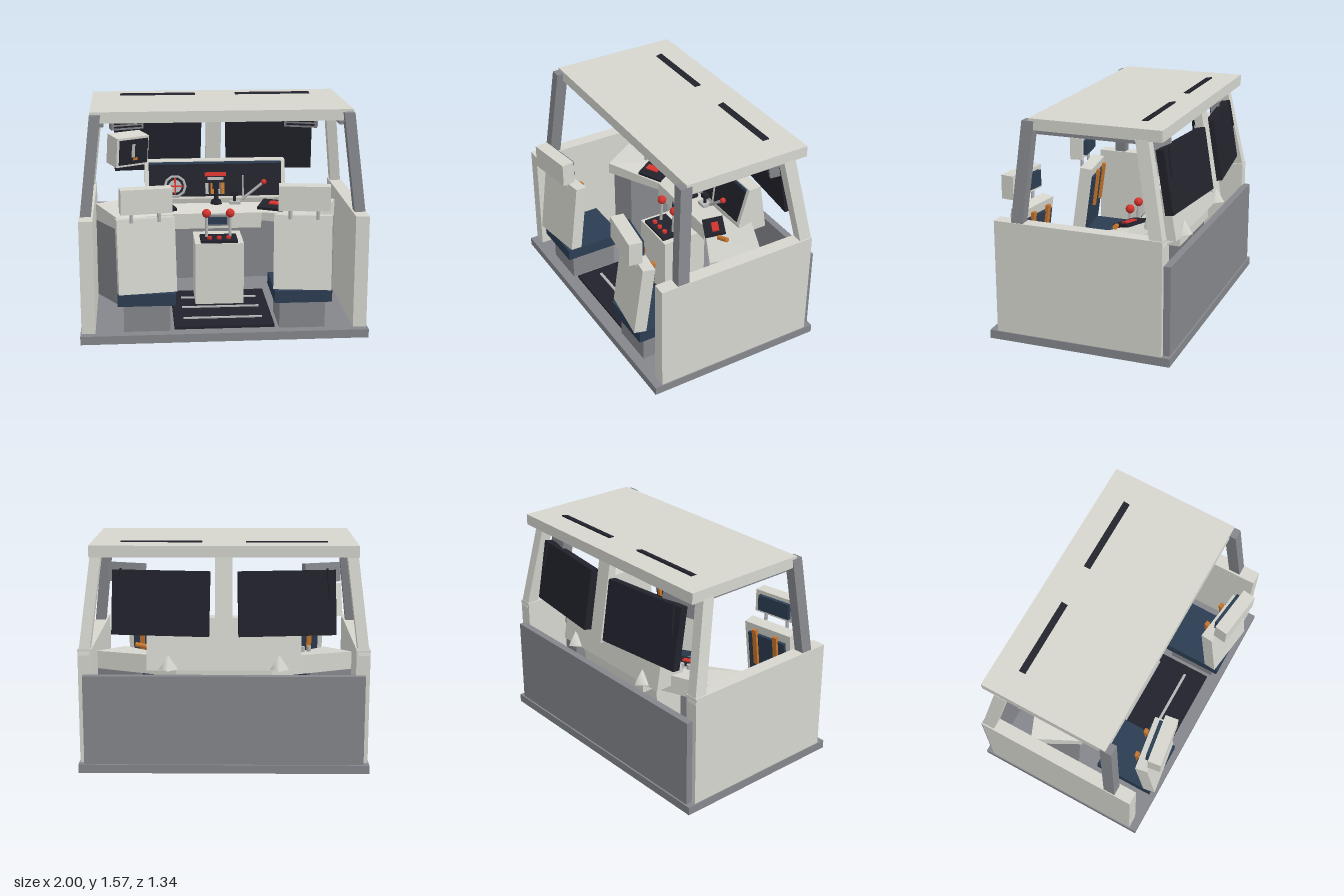
import * as THREE from 'three';

const mat = (name, color) => {
  const m = new THREE.MeshStandardMaterial({ color });
  m.name = name;
  return m;
};

export function createModel() {
  const white = mat('offWhite', 0xd6d6cf), grey = mat('midGrey', 0x85878c), dark = mat('nearBlack', 0x22222c);
  const navy = mat('navy', 0x2c3d52), red = mat('red', 0xd5342e), orange = mat('orange', 0xc8762c);
  const metal = mat('lightMetal', 0xb4b6b6);
  const root = new THREE.Group();

  const add = (name, geo, m, x = 0, y = 0, z = 0, parent = root) => {
    const mesh = new THREE.Mesh(geo, m);
    mesh.name = name;
    mesh.position.set(x, y, z);
    parent.add(mesh);
    return mesh;
  };
  const box = (name, m, w, h, d, x, y, z, parent) => add(name, new THREE.BoxGeometry(w, h, d), m, x, y, z, parent);
  const group = (name, x, y, z, rx = 0, ry = 0, parent = root) => {
    const g = new THREE.Group();
    g.name = name;
    g.position.set(x, y, z);
    g.rotation.set(rx, ry, 0, 'YXZ');
    parent.add(g);
    return g;
  };
  // Round bar between two points
  const rod = (name, m, a, b, r, parent) => {
    const p = new THREE.Vector3(...a), q = new THREE.Vector3(...b), d = q.clone().sub(p);
    const mesh = add(name, new THREE.CylinderGeometry(r, r, d.length(), 8), m, 0, 0, 0, parent);
    mesh.position.copy(p).lerp(q, 0.5);
    mesh.quaternion.setFromUnitVectors(new THREE.Vector3(0, 1, 0), d.normalize());
    return mesh;
  };
  // Leaning post with level ends
  const post = (name, m, a, b, w, d) => {
    const g = new THREE.BoxGeometry(w, 1, d), p = g.attributes.position;
    for (let i = 0; i < p.count; i++) {
      const t = p.getY(i) + 0.5, at = (k) => a[k] + (b[k] - a[k]) * t;
      p.setXYZ(i, p.getX(i) + at(0), at(1), p.getZ(i) + at(2));
    }
    g.computeVertexNormals();
    return add(name, g, m);
  };
  // Prism over plan points [x, z, top] with a level bottom
  const prism = (name, m, points, bottom) => {
    let area = 0;
    points.forEach((p, i) => {
      const q = points[(i + 1) % points.length];
      area += p[1] * q[0] - p[0] * q[1];
    });
    const pts = area > 0 ? points : [...points].reverse();
    const v = [], n = pts.length;
    const top = (p) => [p[0], p[2], p[1]], low = (p) => [p[0], bottom, p[1]];
    for (let i = 0; i < n; i++) {
      const a = pts[i], b = pts[(i + 1) % n];
      v.push(...low(a), ...low(b), ...top(b), ...low(a), ...top(b), ...top(a));
      if (i > 0 && i < n - 1) v.push(...top(pts[0]), ...top(a), ...top(b), ...low(pts[0]), ...low(b), ...low(a));
    }
    const g = new THREE.BufferGeometry();
    g.setAttribute('position', new THREE.Float32BufferAttribute(v, 3));
    g.computeVertexNormals();
    return add(name, g, m);
  };

  // Shell
  box('floor', grey, 2, 0.06, 1.305, 0, 0.03, -0.007);
  box('noseWall', grey, 1.92, 0.625, 0.05, 0, 0.373, -0.623);
  box('roof', white, 1.81, 0.078, 0.925, 0, 1.524, -0.103);
  box('floorMat', dark, 0.7, 0.02, 0.78, 0, 0.07, 0.16);
  for (const z of [0.39, 0.16, -0.05]) box('matStrip', metal, 0.56, 0.012, 0.02, 0, 0.083, z);
  post('centrePost', white, [0, 0.92, -0.62], [0, 1.485, -0.525], 0.115, 0.06);

  for (const s of [-1, 1]) {
    box('sideWall', white, 0.095, 0.8, 1.19, s * 0.945, 0.46, -0.005);
    post('entryPillar', grey, [s * 0.95, 0.85, 0.425], [s * 0.87, 1.545, 0.363], 0.075, 0.085);
    post('windscreenPillar', white, [s * 0.95, 0.82, -0.56], [s * 0.87, 1.49, -0.428], 0.075, 0.09);
    box('roofRail', grey, 0.05, 0.035, 0.72, s * 0.84, 1.468, -0.04);
    // Visor passing through the roof
    box('visor', dark, 0.555, 0.045, 0.41, s * 0.427, 1.505, -0.2).rotation.x = 0.23;

    // Windscreen panel with wiper
    const pane = group('windscreen', s * 0.425, 1.175, -0.565, 0.17, -s * 0.11);
    box('windscreenPanel', dark, 0.66, 0.44, 0.06, 0, 0, 0, pane);
    rod('wiper', dark, [s * 0.27, 0.23, -0.04], [s * 0.29, 0.03, -0.04], 0.008, pane);

    // Air vent under the roof
    const vent = group('airVent', s * 0.66, 1.365, -0.44, 0.15, -s * 0.3);
    box('ventBody', grey, 0.25, 0.13, 0.07, 0, 0, 0, vent);
    for (let i = 0; i < 4; i++) box('ventSlat', dark, 0.21, 0.012, 0.008, 0, -0.042 + i * 0.028, 0.037, vent);

    // Desk wing and its cabinet
    prism('deskWing', white, [[s * 0.33, -0.15, 0.705], [s * 0.73, 0.06, 0.73], [s * 0.9, -0.26, 0.77], [s * 0.33, -0.5, 0.785]], 0.645);
    prism('wingCabinet', grey, [[s * 0.6, -0.06, 0.645], [s * 0.74, 0.01, 0.645], [s * 0.9, -0.27, 0.645], [s * 0.6, -0.39, 0.645]], 0.06);
    const pad = group('controlPad', s * 0.42, 0.755, -0.17, 0.2, -s * 0.45);
    box('padBase', dark, 0.2, 0.02, 0.15, 0, 0, 0, pad);
    box('padKey', red, 0.1, 0.012, 0.05, s * 0.02, 0.014, -0.01, pad);

    // Gusset at the rear of the console
    add('consoleGusset', new THREE.ConeGeometry(0.065, 0.1, 4), white, s * 0.38, 0.76, -0.545);

    // Seat
    box('seatPedestal', grey, 0.32, 0.2, 0.35, s * 0.54, 0.16, 0.395);
    box('seatCushion', navy, 0.4, 0.085, 0.44, s * 0.54, 0.303, 0.4);
    const back = group('seatBack', s * 0.54, 0.605, 0.55, -0.135, -s * 0.14);
    box('backrest', white, 0.4, 0.515, 0.09, 0, 0, 0, back);
    box('backPad', navy, 0.32, 0.42, 0.025, 0, -0.02, -0.055, back);
    for (const x of [-0.09, 0.09]) box('harnessStrap', orange, 0.035, 0.29, 0.025, x, 0.09, -0.075, back);
    const head = group('headrest', s * 0.538, 1.005, 0.6, 0, -s * 0.14);
    box('headrestShell', white, 0.35, 0.17, 0.095, 0, 0, 0, head);
    box('headrestPad', navy, 0.27, 0.115, 0.03, 0, 0, -0.06, head);
    for (const x of [-0.095, 0.095]) rod('headrestPost', metal, [x, -0.16, -0.025], [x, -0.08, -0.025], 0.013, head);

    // Ball-topped lever
    rod('throttleRod', metal, [s * 0.087, 0.55, -0.03], [s * 0.087, 0.72, -0.04], 0.011);
    add('throttleBall', new THREE.SphereGeometry(0.033, 10, 8), red, s * 0.087, 0.735, -0.04);
  }

  // Centre desk and pedestal
  prism('centreDesk', white, [[-0.33, -0.15, 0.705], [0.33, -0.15, 0.705], [0.33, -0.5, 0.785], [-0.33, -0.5, 0.785]], 0.59);
  box('centrePedestal', white, 0.355, 0.48, 0.34, 0, 0.3, -0.08);
  box('pedestalPad', dark, 0.27, 0.02, 0.18, 0, 0.55, -0.01);
  for (const x of [-0.07, 0, 0.07]) add('pedestalButton', new THREE.CylinderGeometry(0.018, 0.018, 0.02, 8), red, x, 0.568, 0.03);
  box('deskDisplayBody', grey, 0.17, 0.08, 0.04, 0, 0.655, -0.145);
  box('deskDisplay', navy, 0.14, 0.055, 0.008, 0, 0.655, -0.122);

  // Instrument console
  const profile = new THREE.Shape([[0.307, 0.78], [0.33, 0.7], [0.54, 0.7], [0.48, 1.055], [0.387, 1.055]].map((p) => new THREE.Vector2(...p)));
  const hood = new THREE.ExtrudeGeometry(profile, { depth: 1.06, bevelEnabled: false });
  hood.rotateY(Math.PI / 2).translate(-0.53, 0, 0);
  add('consoleHood', hood, white);
  const panel = group('instrumentPanel', 0, 0.92, -0.344, -0.285);
  box('mainDisplay', dark, 1.0, 0.245, 0.009, 0, -0.005, 0, panel);
  box('displayTrim', navy, 1.0, 0.018, 0.012, 0, 0.125, 0, panel);
  const dial = group('dial', -0.305, -0.05, 0.015, 0, 0, panel);
  add('dialRing', new THREE.TorusGeometry(0.077, 0.01, 6, 10), metal, 0, 0, 0.01, dial);
  add('dialFace', new THREE.CylinderGeometry(0.05, 0.05, 0.015, 10).rotateX(Math.PI / 2), metal, 0, 0, 0, dial);
  box('dialBar', red, 0.125, 0.012, 0.01, 0, 0, 0.01, dial);
  box('dialBar', red, 0.012, 0.125, 0.009, 0, 0, 0.01, dial);
  box('warningStrip', red, 0.16, 0.03, 0.02, 0, 0.037, 0.012, panel);
  box('labelStrip', metal, 0.12, 0.022, 0.012, 0, 0.005, 0.01, panel);
  [[-0.065, metal], [-0.025, orange], [0.025, metal], [0.055, orange]].forEach(([x, m]) =>
    box('levelBar', m, 0.025, 0.085, 0.012, x, -0.07, 0.01, panel));

  // Sticks and levers on the desk
  add('stickBase', new THREE.CylinderGeometry(0.035, 0.045, 0.03, 10), dark, 0, 0.77, -0.25);
  rod('stickShaft', dark, [0, 0.77, -0.25], [0, 0.88, -0.26], 0.016);
  box('stickGrip', dark, 0.05, 0.06, 0.05, 0, 0.895, -0.265).rotation.x = -0.2;
  box('selectorBase', metal, 0.08, 0.02, 0.07, 0.14, 0.757, -0.27);
  rod('selectorShaft', dark, [0.14, 0.76, -0.27], [0.14, 0.82, -0.27], 0.012);
  box('selectorGrip', dark, 0.05, 0.03, 0.04, 0.14, 0.825, -0.27);
  rod('slantLever', metal, [0.2, 0.78, -0.28], [0.35, 0.9, -0.28], 0.011);
  add('slantLeverKnob', new THREE.SphereGeometry(0.022, 8, 6), red, 0.36, 0.908, -0.28);
  rod('uprightLever', metal, [0.205, 0.77, -0.29], [0.205, 0.955, -0.31], 0.007);
  for (let i = 0; i < 4; i++) add('wingKnob', new THREE.CylinderGeometry(0.015, 0.015, 0.04, 8), metal, -0.6 + i * 0.045, 0.775, -0.2 - i * 0.02);
  rod('wingHandle', orange, [0.56, 0.77, -0.12], [0.64, 0.79, -0.14], 0.018);

  // Side monitor
  const monitor = group('sideMonitor', -0.645, 1.155, -0.36, 0.12, 0.52);
  box('monitorCase', white, 0.27, 0.225, 0.15, 0, 0, -0.02, monitor);
  box('monitorScreen', dark, 0.24, 0.19, 0.009, 0.005, 0, 0.058, monitor);
  box('monitorFigure', metal, 0.025, 0.1, 0.008, 0, 0.01, 0.064, monitor);
  box('monitorMark', orange, 0.035, 0.02, 0.008, 0.02, -0.055, 0.064, monitor);

  // Ceiling lamp
  prism('ceilingLamp', white, [[-0.11, -0.12, 1.49], [0.11, -0.12, 1.49], [0.11, 0.14, 1.49], [-0.11, 0.14, 1.49]], 1.465);
  box('ceilingLampLens', metal, 0.15, 0.022, 0.16, 0, 1.455, 0.01);
  box('warningLamp', orange, 0.06, 0.04, 0.05, 0, 1.465, -0.36);
  return root;
}
